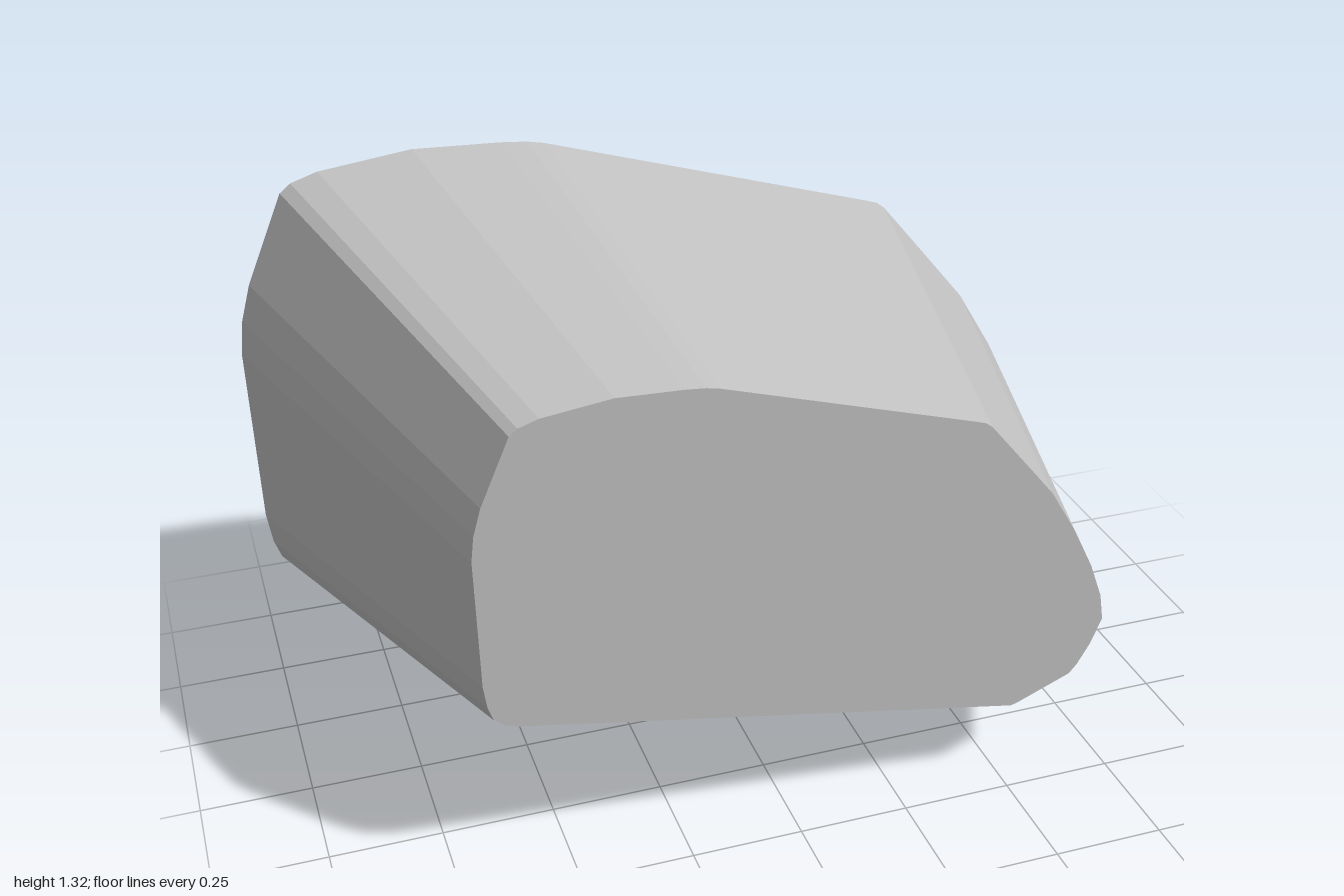
import * as THREE from 'three';

// Rear outline, counter-clockwise from the lowest corner
const OUTLINE = [
  [0.70, 0], [0.72, 0.005], [0.90, 0.08], [0.925, 0.11], [0.965, 0.18], [1.0, 0.27],
  [0.985, 0.36], [0.94, 0.48], [0.87, 0.62], [0.78, 0.77], [0.66, 0.915],
  [0.56, 1.035], [0.54, 1.05], [0.51, 1.06], [-0.28, 1.297], [-0.32, 1.305],
  [-0.38, 1.31], [-0.58, 1.317], [-0.79, 1.29], [-0.85, 1.27], [-0.875, 1.25],
  [-0.965, 1.045], [-0.99, 0.96], [-1.0, 0.88], [-0.995, 0.46], [-0.985, 0.385],
  [-0.97, 0.34], [-0.94, 0.315], [-0.90, 0.301],
];
const HALF_DEPTH = 0.468;

export function createModel() {
  const group = new THREE.Group();
  group.name = 'taperedBlock';

  const grey = new THREE.MeshStandardMaterial({ color: 0xc0c0c0 });
  grey.name = 'light grey';

  const shape = new THREE.Shape(OUTLINE.map(([x, y]) => new THREE.Vector2(x, y)));
  const geometry = new THREE.ExtrudeGeometry(shape, {
    depth: HALF_DEPTH * 2, bevelEnabled: false, steps: 1,
  });
  geometry.translate(0, 0, -HALF_DEPTH);

  // Shrink the front end evenly so the sides taper towards it
  const p = geometry.attributes.position;
  for (let i = 0; i < p.count; i++) {
    if (p.getZ(i) > 0) p.setXY(i, 0.7 * p.getX(i) + 0.02, 0.7 * p.getY(i) + 0.2);
  }
  geometry.computeVertexNormals();

  const body = new THREE.Mesh(geometry, grey);
  body.name = 'taperedBody';
  group.add(body);
  return group;
}
